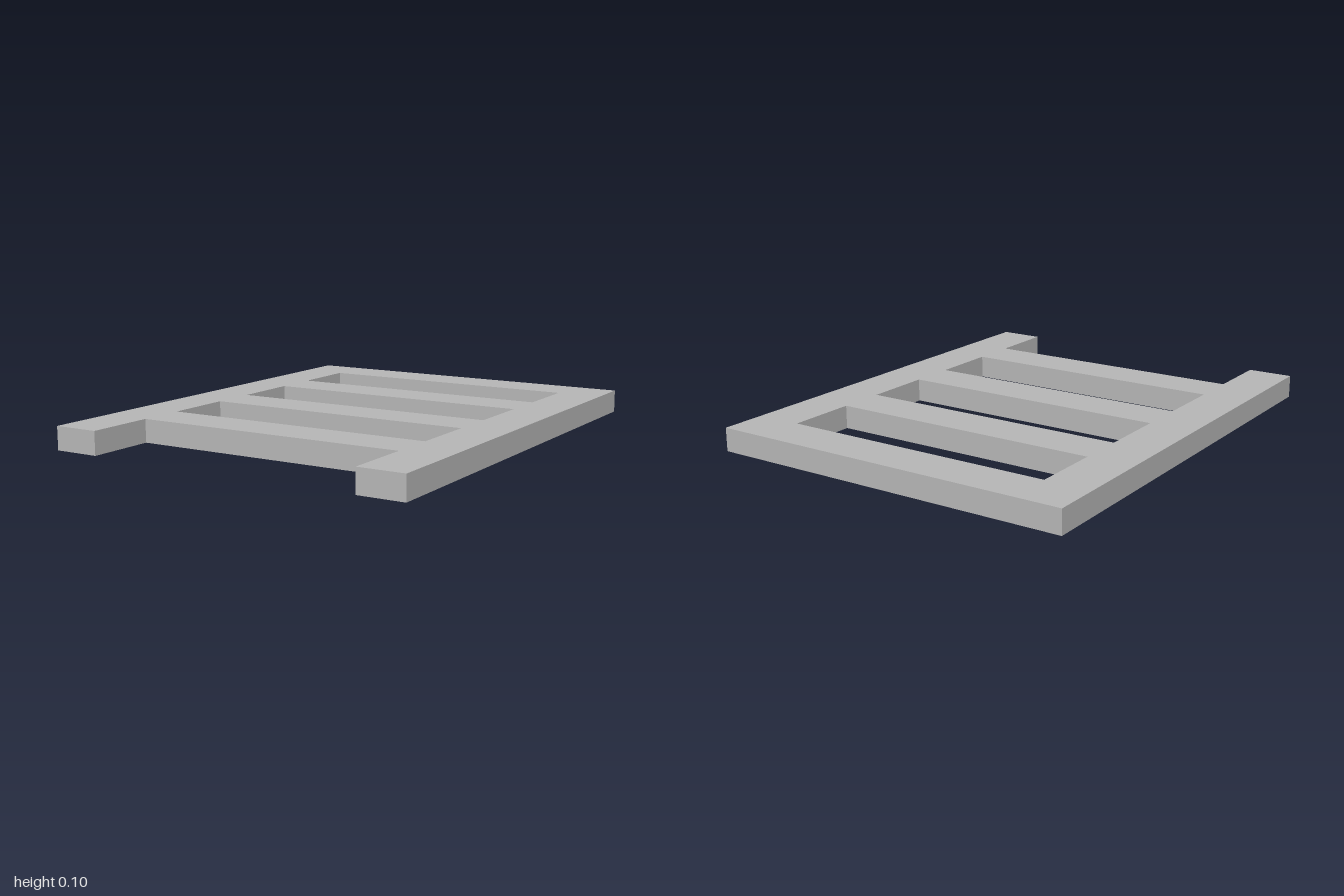
import * as THREE from 'three';

const HEIGHT = 0.1;
const HALF_WIDTH = 0.8;
const HALF_GAP = 0.6; // inner edge of the side rails
const RUNG_STARTS = [-1, -0.5, 0, 0.5]; // back edge of each rung along z
const RUNG_DEPTH = 0.2;

// Outline points are given as [x, z]; shape y is -z so the plate can be laid flat
const toPoints = (list) => list.map(([x, z]) => new THREE.Vector2(x, -z));

export function createModel() {
  const group = new THREE.Group();
  group.name = 'ladderFrame';

  const grey = new THREE.MeshStandardMaterial({ color: 0xb4b4b4 });
  grey.name = 'light grey';

  // Outer outline: two side rails that run past the front rung
  const frontEdge = RUNG_STARTS[RUNG_STARTS.length - 1] + RUNG_DEPTH;
  const outline = new THREE.Shape(toPoints([
    [-HALF_WIDTH, 1], [-HALF_GAP, 1], [-HALF_GAP, frontEdge],
    [HALF_GAP, frontEdge], [HALF_GAP, 1], [HALF_WIDTH, 1],
    [HALF_WIDTH, -1], [-HALF_WIDTH, -1],
  ]));

  // Openings between neighbouring rungs
  for (let i = 0; i < RUNG_STARTS.length - 1; i++) {
    const back = RUNG_STARTS[i] + RUNG_DEPTH;
    const front = RUNG_STARTS[i + 1];
    outline.holes.push(new THREE.Path(toPoints([
      [-HALF_GAP, back], [HALF_GAP, back], [HALF_GAP, front], [-HALF_GAP, front],
    ])));
  }

  const geometry = new THREE.ExtrudeGeometry(outline, { depth: HEIGHT, bevelEnabled: false });
  geometry.rotateX(-Math.PI / 2);

  const frame = new THREE.Mesh(geometry, grey);
  frame.name = 'railsAndRungs';
  group.add(frame);
  return group;
}
